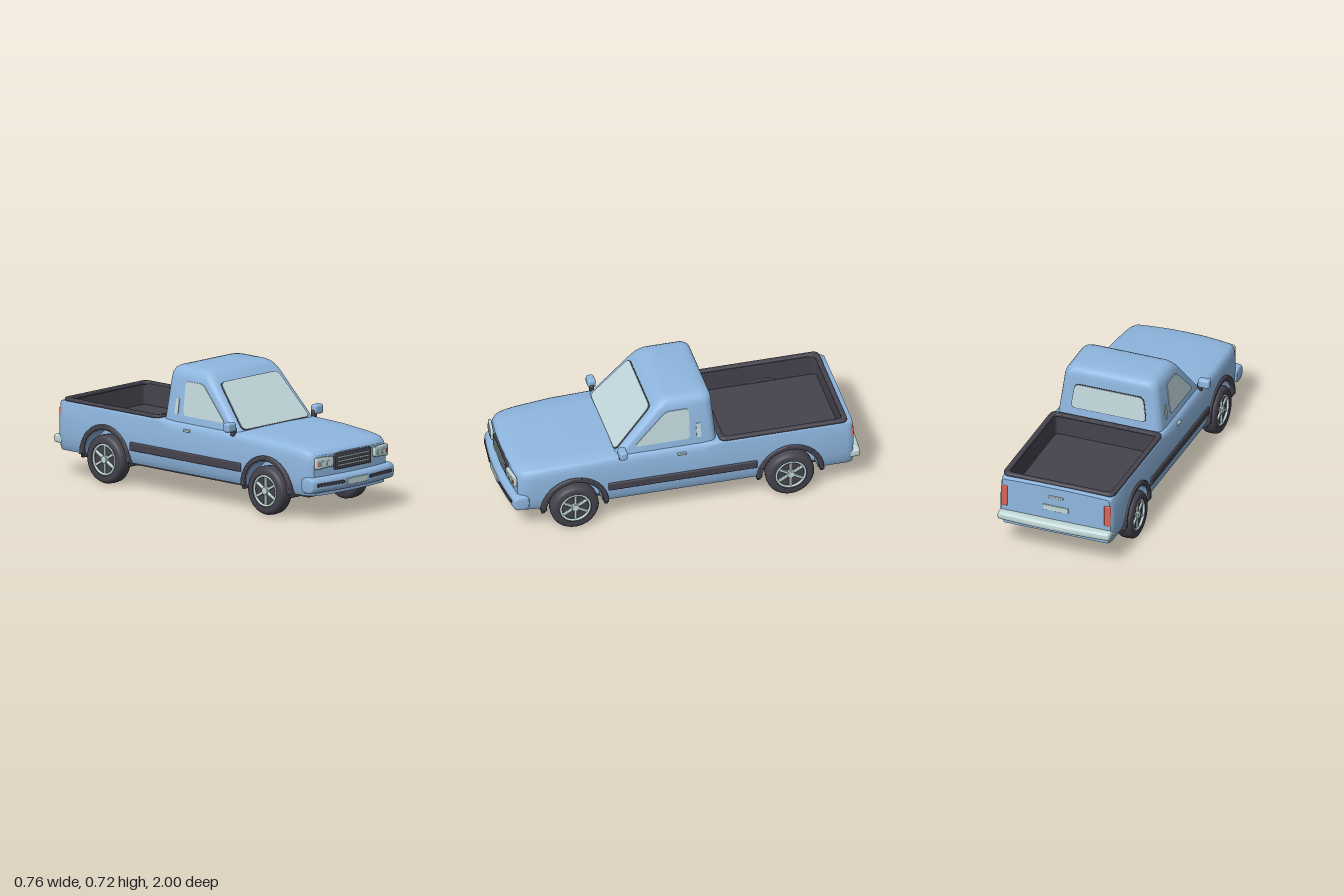
import * as THREE from 'three';
import { toCreasedNormals } from 'three/addons/utils/BufferGeometryUtils.js';
import { RoundedBoxGeometry } from 'three/addons/geometries/RoundedBoxGeometry.js';

const material = (name, color) => Object.assign(new THREE.MeshStandardMaterial({ color }), { name });
const paint = material('bluePaint', 0x8fb7e0);
const dark = material('darkRubber', 0x45434d);
const glass = material('paleGlass', 0xc3dade);
const chrome = material('paleChrome', 0xc3dad9);
const red = material('redLens', 0xdb6458);

const AXLES = [0.625, -0.59], AXLE_Y = 0.14, ARCH = 0.158;

// Polygon with softened corners
function softShape(pts, r, S = THREE.Shape) {
  const s = new S(), v = pts.map(p => new THREE.Vector2(...p)), n = v.length;
  v.forEach((p, i) => {
    const toward = q => p.clone().add(q.clone().sub(p).setLength(r));
    const a = toward(v[(i + n - 1) % n]), b = toward(v[(i + 1) % n]);
    i ? s.lineTo(a.x, a.y) : s.moveTo(a.x, a.y);
    s.quadraticCurveTo(p.x, p.y, b.x, b.y);
  });
  s.closePath();
  return s;
}
const rect = (x0, y0, x1, y1, r, S) => softShape([[x0, y0], [x1, y0], [x1, y1], [x0, y1]], r, S);

function plate(shape, depth, bevel = 0, steps = 1) {
  return toCreasedNormals(new THREE.ExtrudeGeometry(shape, {
    depth: depth - 2 * bevel, steps, curveSegments: 8, bevelEnabled: bevel > 0,
    bevelSize: bevel, bevelThickness: bevel, bevelOffset: -bevel, bevelSegments: 3,
  }).translate(0, 0, bevel), 0.6);
}

// Move every vertex by a rule
function warp(geo, rule) {
  const p = geo.attributes.position, v = new THREE.Vector3();
  for (let i = 0; i < p.count; i++) {
    rule(v.fromBufferAttribute(p, i));
    p.setXYZ(i, v.x, v.y, v.z);
  }
  return toCreasedNormals(geo, 0.6);
}

// Skin a list of closed rings
function loft(rings, crease) {
  const n = rings[0].length, index = [];
  for (let i = 0; i < rings.length - 1; i++) for (let j = 0; j < n; j++) {
    const a = i * n + j, b = i * n + (j + 1) % n;
    index.push(a, b, b + n, a, b + n, a + n);
  }
  const g = new THREE.BufferGeometry();
  g.setAttribute('position', new THREE.Float32BufferAttribute(rings.flat(2), 3));
  g.setIndex(index);
  return toCreasedNormals(g, crease);
}

function mirrored(geo) {
  const g = geo.index ? geo.toNonIndexed() : geo.clone();
  g.scale(-1, 1, 1);
  for (const { array, itemSize: k } of Object.values(g.attributes))
    for (let i = 0; i < array.length; i += 3 * k) for (let c = 0; c < k; c++) {
      const t = array[i + k + c];
      array[i + k + c] = array[i + 2 * k + c];
      array[i + 2 * k + c] = t;
    }
  return g;
}

// Piecewise linear lookup
function lerpTable(t, x) {
  if (x <= t[0][0]) return t[0][1];
  for (let i = 1; i < t.length; i++) if (x <= t[i][0])
    return THREE.MathUtils.mapLinear(x, t[i - 1][0], t[i][0], t[i - 1][1], t[i][1]);
  return t[t.length - 1][1];
}
const TOP = [[-0.945, 0.412], [-0.9, 0.42], [0.4, 0.42], [0.6, 0.414], [0.8, 0.402], [0.9, 0.391], [0.93, 0.384], [0.947, 0.374], [0.957, 0.362]];
const WIDTH = [[0.14, 0.318], [0.17, 0.33], [0.22, 0.336], [0.3, 0.336], [0.36, 0.331], [0.42, 0.327]];
const TAPER = [[-0.945, 0.96], [-0.935, 0.985], [-0.91, 1], [0.6, 1], [0.8, 0.965], [0.9, 0.93], [0.93, 0.905], [0.947, 0.875], [0.957, 0.84]];

// Body cross-section at z; the lower edge follows the wheel arches
function bodyRing(z, bed, squash = 1) {
  const axle = AXLES.find(a => Math.abs(z - a) < ARCH);
  const bot = axle === undefined ? 0.14 : AXLE_Y + Math.sqrt(ARCH ** 2 - (z - axle) ** 2);
  const top = lerpTable(TOP, z), taper = lerpTable(TAPER, z);
  const hw = y => lerpTable(WIDTH, y) * taper;
  const k = z < -0.19 ? 0.35 : 1, w = hw(top - 0.05 * k), xs = w - 0.03 * k;
  const half = [[0, 0.14], [0.25 * taper, 0.14], [0.25 * taper, bot]];
  for (const y of [0.14, 0.155, 0.17, 0.22, 0.26, 0.3, 0.335]) half.push([hw(Math.max(y, bot)), Math.max(y, bot)]);
  half.push([w, top - 0.05 * k], [w - 0.005 * k, top - 0.025 * k], [w - 0.015 * k, top - 0.008 * k], [xs, top]);
  if (bed) half.push([0.31, top], [0.31, 0.295], [0, 0.295]);
  else half.push([xs * 0.7, top + 0.003], [xs * 0.35, top + 0.005], [0, top + 0.005]);
  const ring = half.concat(half.slice(1, -1).reverse().map(([x, y]) => [-x, y]));
  const bow = 0.022 * THREE.MathUtils.smoothstep(z, 0.85, 0.95);
  return ring.map(([x, y]) => [x * squash, y, z - bow * (x * squash / 0.29) ** 2]);
}

function bodyGeometry() {
  const zs = [-0.93, -0.91, -0.2, -0.1, 0.1, 0.3, 0.4, 0.82, 0.86, 0.9, 0.93, 0.947];
  for (const a of AXLES) for (let i = 0; i <= 20; i++) zs.push(a + ARCH * Math.cos(i * Math.PI / 20));
  zs.sort((a, b) => a - b);
  const rings = [0, 0.5, 1].map(s => bodyRing(-0.945, false, s));
  for (const z of zs) {
    if (z === -0.91) rings.push(bodyRing(z, false), bodyRing(z, true));
    else if (z === -0.2) rings.push(bodyRing(z, true), bodyRing(z, false));
    else rings.push(bodyRing(z, z > -0.91 && z < -0.2));
  }
  rings.push(...[1, 0.66, 0.33, 0].map(s => bodyRing(0.957, false, s)));
  return loft(rings, 0.6);
}

// Cab: rounded rectangles stacked upward [y, half width, front z, back z, corner]
function cabGeometry() {
  const rows = [[0.36, 0.313, 0.439, -0.19, 0.045], [0.42, 0.306, 0.385, -0.185, 0.045], [0.655, 0.278, 0.174, -0.166, 0.05],
    [0.68, 0.27, 0.15, -0.164, 0.05], [0.7, 0.256, 0.128, -0.156, 0.05], [0.711, 0.238, 0.105, -0.142, 0.05],
    [0.716, 0.21, 0.075, -0.115, 0.045], [0.717, 0, -0.02, -0.02, 0]];
  return loft(rows.map(([y, w, f, b, r]) => {
    const ring = [];
    for (let q = 0; q < 4; q++) for (let i = 0; i <= 6; i++) {
      const a = (q + i / 6) * Math.PI / 2, sx = q < 2 ? 1 : -1, front = q === 0 || q === 3;
      ring.push([sx * (w - r) + r * Math.sin(a), y, (front ? f - r : b + r) + r * Math.cos(a)]);
    }
    return ring;
  }), 0.7);
}

export function createModel() {
  const model = new THREE.Group();
  model.name = 'pickupTruck';
  const add = (name, geo, mat) => {
    const m = new THREE.Mesh(geo, mat);
    m.name = name;
    model.add(m);
  };
  const both = (name, geo, mat) => { add(name + 'Left', geo, mat); add(name + 'Right', mirrored(geo), mat); };
  const box = (w, h, d, x, y, z, r = 0.004) => new RoundedBoxGeometry(w, h, d, 3, r).translate(x, y, z);

  add('body', bodyGeometry(), paint);
  add('cab', cabGeometry(), paint);
  add('underbody', box(0.49, 0.03, 1.72, 0, 0.132, 0), dark);
  add('floorPan', box(0.6, 0.02, 0.86, 0, 0.138, 0.015), dark);

  // Windscreen with dark seal, laid on the sloping cab front
  const slope = Math.atan(0.211 / 0.235), screen = (e, lift) =>
    plate(softShape([[-0.262 - e, 0.008 - e], [0.262 + e, 0.008 - e], [0.224 + e, 0.314 + e], [-0.224 - e, 0.314 + e]], 0.035), 0.006)
      .translate(0, 0, lift).rotateX(-slope).translate(0, 0.42, 0.385);
  add('windscreenSeal', screen(0.005, -0.004), dark);
  add('windscreen', screen(0, -0.001), glass);

  // Side and rear windows follow the lean of the cab
  const side = (pts, r, lift) => warp(plate(softShape(pts, r), 0.006).rotateY(Math.PI / 2),
    v => { v.x += 0.306 - 0.12 * (v.y - 0.42) + lift; });
  both('sideWindow', side([[-0.285, 0.457], [0.03, 0.457], [0.03, 0.645], [-0.1, 0.645]], 0.025, -0.002), glass);
  both('cabVent', side([[0.07, 0.457], [0.097, 0.457], [0.09, 0.545], [0.067, 0.545]], 0.01, -0.002), glass);
  const rear = (e, lift) => warp(plate(softShape([[-0.22 - e, 0.475 - e], [0.22 + e, 0.475 - e], [0.2 + e, 0.615 + e], [-0.2 - e, 0.615 + e]], 0.03), 0.006)
    .rotateY(Math.PI), v => { v.z += -0.185 + 0.081 * (v.y - 0.42) - lift; });
  add('rearWindowSeal', rear(0.004, -0.004), dark);
  add('rearWindow', rear(0, -0.001), glass);

  // Load bed liner
  const upright = (shape, h, y, bevel) => plate(shape, h, bevel).rotateX(-Math.PI / 2).translate(0, y, 0);
  const framed = (x, z0, z1, t, r) => {
    const s = rect(-x, z0, x, z1, r);
    s.holes.push(rect(-x + t, z0 + t, x - t, z1 - t, r * 0.8, THREE.Path));
    return s;
  };
  add('bedWalls', upright(framed(0.309, 0.201, 0.909, 0.012, 0.03), 0.125, 0.3, 0), dark);
  add('bedFloor', upright(rect(-0.309, 0.201, 0.309, 0.909, 0.01), 0.008, 0.297, 0), dark);
  add('bedRim', upright(framed(0.329, 0.194, 0.918, 0.029, 0.04), 0.02, 0.416, 0.007), dark);

  // Side mouldings, handles and mirrors
  both('sideMoulding', box(0.02, 0.048, 0.84, 0.335, 0.238, 0.018, 0.008), dark);
  both('doorHandle', box(0.014, 0.014, 0.048, 0.332, 0.382, 0.022), chrome);
  both('mirror', box(0.068, 0.053, 0.045, 0.345, 0.453, 0.36, 0.014), paint);
  both('mirrorArm', box(0.03, 0.05, 0.025, 0.318, 0.425, 0.362, 0.008), dark);

  // Bumpers: rounded profiles drawn across the body, bowed in plan
  const bumper = (z0, y0, z1, y1, r, half, bow) => warp(
    plate(rect(-z1, y0, -z0, y1, r), half * 2, 0.012, 16).rotateY(Math.PI / 2).translate(-half, 0, 0),
    v => { v.z -= bow * (v.x / half) ** 2; });
  add('frontBumper', bumper(0.905, 0.158, 0.995, 0.245, 0.035, 0.325, 0.03), paint);
  add('rearBumper', bumper(-0.998, 0.175, -0.93, 0.222, 0.018, 0.33, -0.012), chrome);
  both('bumperStrip', box(0.192, 0.018, 0.012, 0, 0, 0).rotateY(0.11).translate(0.196, 0.206, 0.982), dark);
  add('frontPlate', box(0.16, 0.036, 0.012, 0, 0.202, 0.993), chrome);

  // Grille and headlamps
  add('grille', plate(rect(-0.143, 0.271, 0.143, 0.36, 0.014), 0.02, 0.004).translate(0, 0, 0.945), dark);
  for (const y of [0.293, 0.315, 0.337]) add('grilleSlat', box(0.246, 0.007, 0.008, 0, y, 0.966, 0.003), chrome);
  const onLamp = g => g.rotateY(0.13).translate(0.222, 0, 0.947);
  both('headlamp', onLamp(plate(softShape([[-0.064, 0.298], [0.062, 0.288], [0.062, 0.356], [-0.064, 0.352]], 0.014), 0.018, 0.005)), chrome);
  for (const x of [-0.028, 0.016])
    both('lampLens', onLamp(new THREE.CylinderGeometry(0.015, 0.016, 0.006, 24).rotateX(Math.PI / 2).translate(x, 0.32, 0.019)), glass);
  both('indicator', onLamp(box(0.011, 0.02, 0.006, 0.045, 0.32, 0.018, 0.002)), red);

  // Tail lamps and tailgate details
  both('tailLamp', box(0.038, 0.125, 0.025, 0.304, 0.312, -0.938, 0.006), red);
  add('tailgateHandle', box(0.09, 0.014, 0.012, 0, 0.362, -0.946), chrome);
  add('rearPlate', box(0.15, 0.034, 0.01, 0, 0.292, -0.946), chrome);

  // Wheels, arch trims and mud flaps
  const tyreProfile = [[0, -0.045], [0.115, -0.045], [0.127, -0.039], [0.134, -0.027], [0.136, 0], [0.134, 0.027],
    [0.127, 0.039], [0.115, 0.045], [0.09, 0.043], [0.083, 0.026], [0, 0.026]].map(p => new THREE.Vector2(...p));
  for (const z of AXLES) {
    const place = g => g.translate(0.305, AXLE_Y - 0.004, z);
    both('tyre', place(toCreasedNormals(new THREE.LatheGeometry(tyreProfile, 40).rotateZ(-Math.PI / 2), 0.7)), dark);
    both('wheelRim', place(new THREE.TorusGeometry(0.082, 0.007, 8, 40).rotateY(Math.PI / 2).translate(0.036, 0, 0)), chrome);
    both('wheelHub', place(new THREE.CylinderGeometry(0.02, 0.025, 0.02, 20).rotateZ(-Math.PI / 2).translate(0.034, 0, 0)), chrome);
    for (let i = 0; i < 6; i++)
      both('wheelSpoke', place(box(0.012, 0.066, 0.016, 0.032, 0.048, 0).rotateX(i * Math.PI / 3)), chrome);
    const arc = new THREE.Shape();
    arc.absarc(0, 0, 0.19, 0, Math.PI, false);
    arc.absarc(0, 0, 0.162, Math.PI, 0, true);
    arc.closePath();
    both('archTrim', plate(arc, 0.05, 0.006).rotateY(Math.PI / 2).translate(0.295, AXLE_Y, z), dark);
    for (const s of [-1, 1]) both('mudFlap', box(0.07, 0.035, 0.02, 0.295, 0.138, z + s * 0.178), dark);
  }
  return model;
}
